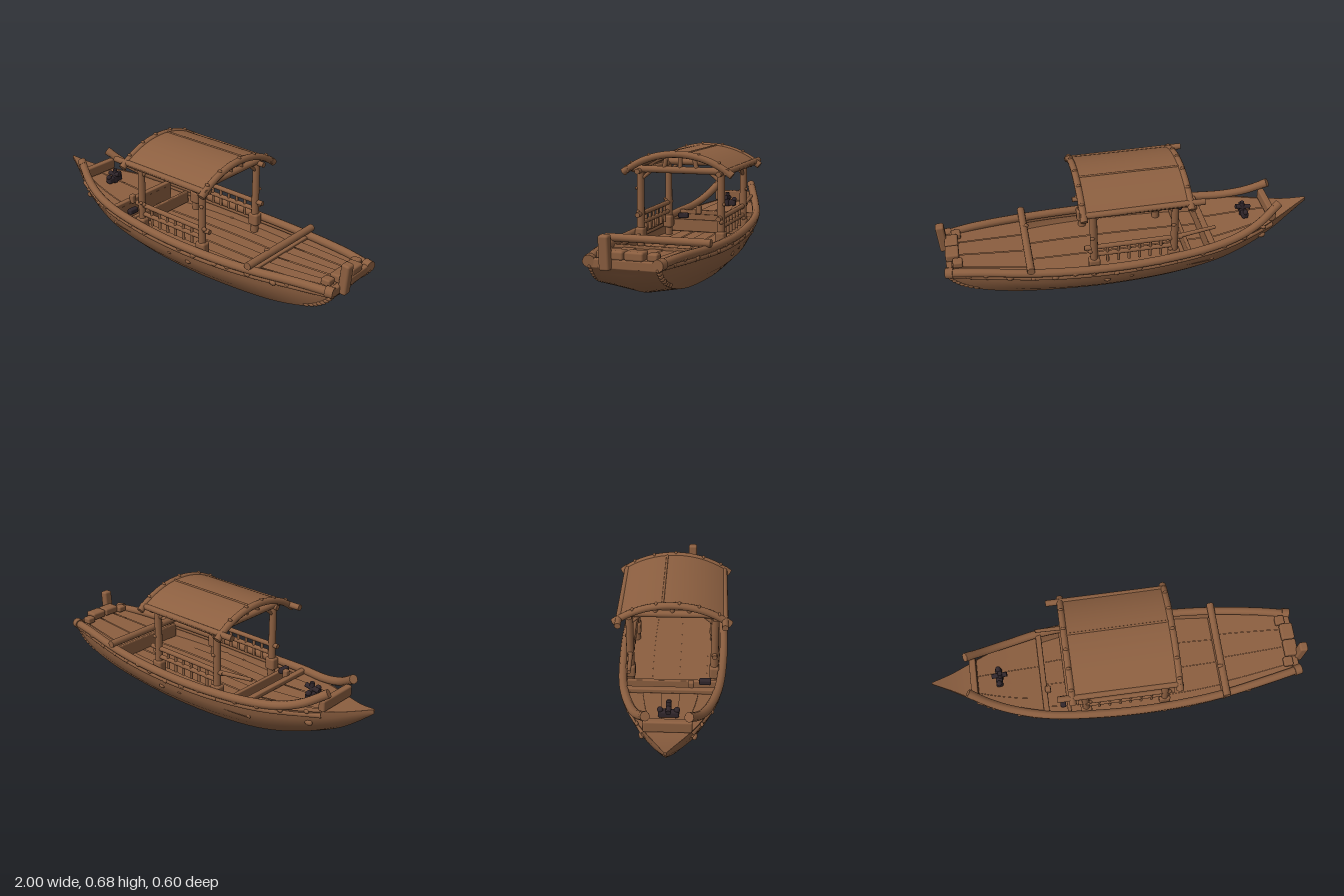
import * as THREE from 'three';
import { toCreasedNormals } from 'three/addons/utils/BufferGeometryUtils.js';
import { RoundedBoxGeometry } from 'three/addons/geometries/RoundedBoxGeometry.js';

export function createModel() {
  const boat = new THREE.Group();
  boat.name = 'woodenBoat';
  const wood = new THREE.MeshStandardMaterial({ name: 'wood', color: 0x8c5f40, side: THREE.DoubleSide });
  const iron = new THREE.MeshStandardMaterial({ name: 'darkIron', color: 0x30262b });
  const V = (x, y, z) => new THREE.Vector3(x, y, z);
  let seed = 7;
  const rand = () => (seed = (seed * 16807) % 2147483647) / 2147483647;

  const add = (name, geo, mat = wood) => {
    const m = new THREE.Mesh(geo, mat);
    m.name = name;
    boat.add(m);
    return m;
  };
  // round pole between two points
  const pole = (name, a, b, r, r2 = r, mat = wood) => {
    const d = b.clone().sub(a);
    const m = add(name, new THREE.CylinderGeometry(r2, r, d.length(), 12), mat);
    m.position.copy(a).add(b).multiplyScalar(0.5);
    m.quaternion.setFromUnitVectors(V(0, 1, 0), d.normalize());
    return m;
  };
  const block = (name, w, h, d, x, y, z, mat = wood) => {
    const m = add(name, new RoundedBoxGeometry(w, h, d, 2, Math.min(w, h, d) * 0.25), mat);
    m.position.set(x, y, z);
    return m;
  };
  const knot = (x, y, z, r) => {
    const m = add('knot', new THREE.SphereGeometry(r, 8, 6));
    m.position.set(x, y, z);
    m.scale.set(1.3, 0.9, 0.8);
  };

  // hull lines: x, keel y, chine fraction, gunwale y, gunwale half width
  const stations = [
    [-1, 0.31, 0.4, 0.335, 0.004], [-0.9, 0.225, 0.4, 0.305, 0.048], [-0.8, 0.155, 0.42, 0.285, 0.1],
    [-0.65, 0.083, 0.47, 0.268, 0.17], [-0.45, 0.03, 0.54, 0.25, 0.228], [-0.2, 0.008, 0.6, 0.23, 0.258],
    [0.1, 0, 0.62, 0.222, 0.27], [0.35, 0.007, 0.63, 0.225, 0.264], [0.6, 0.032, 0.7, 0.235, 0.235],
    [0.8, 0.085, 0.82, 0.245, 0.2], [0.9, 0.14, 0.9, 0.25, 0.18], [0.96, 0.215, 0.94, 0.252, 0.17],
  ];
  const keel = new THREE.CatmullRomCurve3(stations.map(s => V(s[0], s[1], s[2])), false, 'catmullrom');
  const edge = new THREE.CatmullRomCurve3(stations.map(s => V(s[0], s[3], s[4])), false, 'catmullrom');
  const edgeAt = x => {
    let lo = 0, hi = 1;
    for (let i = 0; i < 24; i++) {
      const m = (lo + hi) / 2;
      if (edge.getPoint(m).x < x) lo = m; else hi = m;
    }
    return edge.getPoint(lo);
  };
  // loft through rows of points
  const loft = rows => {
    const n = rows[0].length, index = [];
    for (let i = 0; i < rows.length - 1; i++) for (let j = 0; j < n - 1; j++) {
      const a = i * n + j, b = a + n;
      index.push(a, b, a + 1, b, b + 1, a + 1);
    }
    const g = new THREE.BufferGeometry();
    g.setAttribute('position', new THREE.Float32BufferAttribute(rows.flat().flatMap(p => p.toArray()), 3));
    g.setIndex(index);
    return toCreasedNormals(g, 0.5);
  };
  const hullRows = [];
  for (let i = 0; i <= 55; i++) {
    const k = keel.getPoint(i / 55), e = edge.getPoint(i / 55), f = k.z, h = e.y - k.y;
    const half = [[f, 0.16], [f + (1 - f) * 0.58, 0.42], [f + (1 - f) * 0.94, 0.72], [1, 1]];
    const pt = ([u, v], s) => V(e.x, k.y + v * h, s * u * e.z);
    hullRows.push([...half.map(p => pt(p, -1)).reverse(), V(k.x, k.y, 0), ...half.map(p => pt(p, 1))]);
  }
  add('hull', loft(hullRows));

  // decks of lengthwise planks that follow the hull outline
  const deck = (name, x0, x1, planks, height, inset = 0.99) => {
    for (let p = 0; p < planks; p++) {
      const rows = [];
      for (let i = 0; i <= 10; i++) {
        const e = edgeAt(x0 + (x1 - x0) * i / 10), y = height(e) + (p % 2) * 0.004;
        rows.push([p, p + 1].map(q => V(e.x, y, (q / planks * 2 - 1) * e.z * inset)).reverse());
      }
      add(name, loft(rows));
    }
  };
  deck('prowPlate', -0.999, -0.78, 1, e => e.y);
  deck('foreDeck', -0.78, -0.42, 5, e => e.y - 0.005);
  deck('cabinFloor', -0.42, 0.54, 7, () => 0.16, 0.95);
  deck('sternDeck', 0.54, 0.95, 7, e => e.y - 0.008);
  block('foreBulkhead', 0.02, 0.1, 0.44, -0.42, 0.205, 0);
  block('cabinBulkhead', 0.02, 0.07, 0.48, -0.3, 0.2, 0);
  block('sternBulkhead', 0.02, 0.08, 0.46, 0.54, 0.2, 0);
  block('bowBeam', 0.035, 0.06, 0.23, -0.78, 0.315, 0);
  block('foreBeam', 0.03, 0.025, 0.45, -0.42, 0.258, 0);
  pole('sternBeam', V(0.54, 0.272, -0.268), V(0.54, 0.272, 0.268), 0.02);

  // gunwale rails, rising into horns at the bow
  for (const s of [-1, 1]) {
    const path = new THREE.CatmullRomCurve3([
      [-0.81, 0.388, 0.1], [-0.7, 0.318, 0.15], [-0.58, 0.277, 0.192], [-0.4, 0.255, 0.236], [-0.1, 0.235, 0.262],
      [0.2, 0.232, 0.266], [0.5, 0.238, 0.246], [0.8, 0.25, 0.197], [0.965, 0.245, 0.162],
    ].map(p => V(p[0], p[1], p[2] * s)));
    add('gunwaleRail', new THREE.TubeGeometry(path, 60, 0.022, 10));
    for (const [end, r] of [[0, 0.023], [1, 0.028]]) {
      const a = path.getPoint(end), b = path.getPoint(Math.abs(end - 0.03));
      pole('railEnd', a, b, r);
    }
    // rubbing strake and weathered knots
    const strake = [-0.78, -0.5, -0.2, 0.1, 0.4, 0.7, 0.95].map(x => edgeAt(x)).map(e => V(e.x, e.y - 0.02, e.z * s));
    add('rubbingStrake', new THREE.TubeGeometry(new THREE.CatmullRomCurve3(strake), 40, 0.013, 8));
    for (let i = 0; i < 15; i++) {
      const e = edgeAt(-0.72 + i * 0.112 + rand() * 0.05);
      knot(e.x, e.y - 0.025 + rand() * 0.03, (e.z + 0.007) * s, 0.01 + rand() * 0.006);
    }
    for (let i = 0; i < 8; i++) {
      const k = keel.getPoint(0.83 + i * 0.022), e = edge.getPoint(0.83 + i * 0.022);
      knot(k.x, k.y + 0.16 * (e.y - k.y) + 0.012, k.z * e.z * s, 0.014);
    }
    knot(0.15, 0.15, 0.258 * s, 0.014);
    knot(0.02, 0.155, 0.256 * s, 0.01);
    knot(-0.72, 0.21, 0.125 * s, 0.018);
  }

  // stern blocks and steering post
  block('transomBoard', 0.03, 0.045, 0.32, 0.945, 0.235, 0);
  for (const z of [-0.047, 0.047]) block('sternSeat', 0.07, 0.042, 0.09, 0.925, 0.275, z);
  for (const z of [-0.12, 0.12]) block('sternCleat', 0.05, 0.035, 0.05, 0.9, 0.268, z);
  block('steeringPost', 0.045, 0.16, 0.05, 0.971, 0.29, 0.08).rotation.z = -0.07;

  // cabin frame: posts, railings and braces
  for (const s of [-1, 1]) {
    const z = 0.216 * s;
    for (const x of [-0.21, 0.21]) {
      pole('cabinPost', V(x, 0.16, z), V(x, 0.57, z), 0.021, 0.019);
      block('postFoot', 0.06, 0.07, 0.05, x, 0.235, z);
      pole('sideBrace', V(x, 0.505, z), V(x * 0.72, 0.56, z), 0.009);
      pole('crossBrace', V(x, 0.515, z), V(x, 0.565, z * 0.72), 0.009);
      knot(x + 0.01, 0.34 + rand() * 0.15, z + 0.019 * s, 0.01);
      knot(x + 0.018, 0.26 + rand() * 0.1, z + 0.008 * s, 0.013);
    }
    pole('eavePole', V(-0.35, 0.58, 0.262 * s), V(0.28, 0.576, 0.262 * s), 0.016);
    pole('topPlate', V(-0.24, 0.562, z), V(0.26, 0.562, z), 0.014);
    pole('handRail', V(-0.25, 0.342, z), V(0.26, 0.338, z), 0.013);
    pole('lowerRail', V(-0.22, 0.292, z), V(0.22, 0.292, z), 0.012);
    for (let i = 0; i < 6; i++) {
      const x = -0.14 + i * 0.056;
      pole('baluster', V(x, 0.24, z), V(x, 0.34, z), 0.008);
    }
  }
  pole('oar', V(-0.43, 0.366, -0.205), V(-0.18, 0.335, -0.215), 0.009, 0.013);

  // arched roof with end ribs, ties and struts
  const R = 0.478, cy = 0.187, spread = 0.62, up = Math.PI / 2;
  const arch = new THREE.Shape();
  arch.absarc(0, cy, R, up - spread, up + spread, false);
  arch.absarc(0, cy, R - 0.018, up + spread, up - spread, true);
  const roofGeo = new THREE.ExtrudeGeometry(arch, { depth: 0.54, bevelEnabled: false, curveSegments: 20 });
  roofGeo.translate(0, 0, -0.27).rotateY(up);
  add('roofShell', toCreasedNormals(roofGeo, 0.5));
  for (const x of [-0.275, 0, 0.265]) {
    const end = x !== 0, a = end ? 0.65 : 0.6, tube = end ? 0.018 : 0.011;
    const rib = new THREE.TorusGeometry(end ? R - 0.008 : R - 0.02, tube, 10, 28, a * 2);
    rib.rotateZ(up - a).rotateY(up);
    add('roofRib', rib).position.set(x, cy, 0);
    if (!end) continue;
    for (const s of [-1, 1]) {
      const dir = V(0, Math.cos(a), Math.sin(a) * s), tan = V(0, -Math.sin(a), Math.cos(a) * s);
      const p = dir.multiplyScalar(R - 0.008).add(V(x, cy, 0));
      pole('ribEnd', p.clone().addScaledVector(tan, -0.03), p.clone().addScaledVector(tan, 0.006), 0.019);
    }
    for (let i = 0; i < 5; i++) {
      const t = -0.5 + i * 0.25 + rand() * 0.1;
      knot(x, cy + Math.cos(t) * (R + 0.008), Math.sin(t) * (R + 0.008), 0.01);
    }
  }
  for (const x of [-0.21, 0.21]) {
    pole('tieBeam', V(x, 0.572, -0.262), V(x, 0.572, 0.262), 0.018);
    for (const z of [-1, 0, 1]) pole('roofStrut', V(x, 0.575, z * 0.088), V(x, 0.65, z * 0.07), 0.012);
  }
  pole('ridgeBatten', V(-0.27, 0.662, -0.045), V(0.26, 0.662, -0.045), 0.006);

  // iron bollard on the fore deck
  block('bollardBase', 0.035, 0.035, 0.1, -0.65, 0.288, 0, iron);
  pole('bollardStem', V(-0.645, 0.27, 0), V(-0.64, 0.35, 0), 0.016, 0.012, iron);
  pole('bollardArm', V(-0.685, 0.315, 0), V(-0.605, 0.325, 0), 0.013, 0.013, iron);
  for (const z of [-0.04, 0.04]) {
    const ball = add('bollardKnob', new THREE.SphereGeometry(0.015, 10, 8), iron);
    ball.position.set(-0.65, 0.308, z);
  }

  // small gear
  block('foreCleat', 0.03, 0.05, 0.03, -0.4, 0.275, 0.1);
  block('ironBracket', 0.03, 0.03, 0.06, -0.33, 0.25, 0.17, iron);
  knot(0.53, 0.285, 0.1, 0.014);
  return boat;
}
